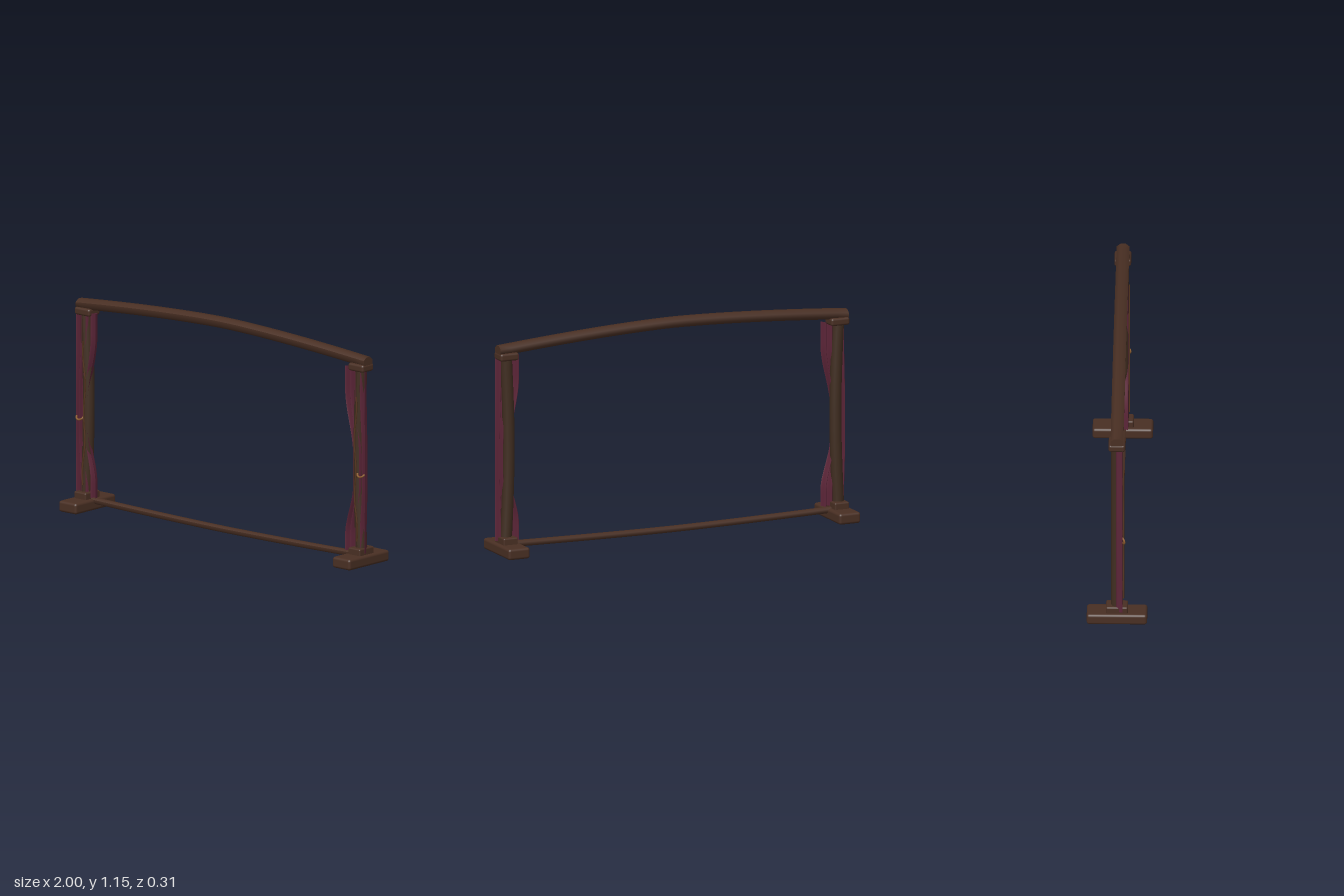
import * as THREE from 'three';
import { RoundedBoxGeometry } from 'three/addons/geometries/RoundedBoxGeometry.js';

const wood = new THREE.MeshStandardMaterial({ color: 0x492f23 });
wood.name = 'brown wood';
const darkWood = new THREE.MeshStandardMaterial({ color: 0x402d20 });
darkWood.name = 'dark wood';
const grainWood = new THREE.MeshStandardMaterial({ color: 0x553620 });
grainWood.name = 'grain brown';
const cloth = new THREE.MeshStandardMaterial({ color: 0x5c2538, side: THREE.DoubleSide });
cloth.name = 'wine cloth';
const cord = new THREE.MeshStandardMaterial({ color: 0x8a5a2c });
cord.name = 'ochre cord';

function add(parent, name, geometry, material, x = 0, y = 0, z = 0) {
  const mesh = new THREE.Mesh(geometry, material);
  mesh.name = name;
  mesh.position.set(x, y, z);
  parent.add(mesh);
  return mesh;
}

// Moves every vertex by a rule, then refreshes the normals.
function bend(geometry, rule) {
  const p = geometry.attributes.position;
  const v = new THREE.Vector3();
  for (let i = 0; i < p.count; i++) {
    v.fromBufferAttribute(p, i);
    rule(v);
    p.setXYZ(i, v.x, v.y, v.z);
  }
  geometry.computeVertexNormals();
  return geometry;
}

// Horizontal bar with a flat-topped eight-sided section, curved in height.
function bar(length, halfHeight, halfDepth, heightAt) {
  const k = 1 / Math.cos(Math.PI / 8);
  const g = new THREE.CylinderGeometry(k, k, length, 8, 32, false, Math.PI / 8);
  g.rotateZ(Math.PI / 2);
  return bend(g, v => {
    v.y = v.y * halfHeight + heightAt(v.x);
    v.z *= halfDepth;
  });
}

// Post centre line: bowed gently toward the opening.
const postX = y => 0.942 - 0.015 * Math.sin(Math.PI * THREE.MathUtils.clamp((y - 0.09) / 0.94, 0, 1));

// Inner edge of the curtain, gathered at the middle.
function curtainInner(y) {
  const s = THREE.MathUtils.smoothstep;
  return 0.855 + 0.055 * s(y, 0.15, 0.42) * (1 - s(y, 0.58, 0.92));
}

function curtainGeometry() {
  const g = new THREE.PlaneGeometry(1, 0.97, 48, 40);
  g.translate(0.5, 0.555, 0);
  return bend(g, v => {
    const u = v.x;
    v.x = THREE.MathUtils.lerp(curtainInner(v.y), 0.99, u);
    v.z = 0.012 + 0.016 * Math.cos(u * Math.PI * 8);
  });
}

function side(sign) {
  const group = new THREE.Group();
  group.name = sign > 0 ? 'leftSide' : 'rightSide';

  // Foot, plinth and cap
  add(group, 'foot', new RoundedBoxGeometry(0.122, 0.058, 0.31, 3, 0.014), wood, sign * 0.938, 0.032, 0);
  add(group, 'plinth', new RoundedBoxGeometry(0.082, 0.05, 0.112, 2, 0.008), wood, sign * 0.94, 0.071, 0);
  add(group, 'cap', new RoundedBoxGeometry(0.105, 0.04, 0.086, 3, 0.012), wood, sign * 0.938, 1.043, 0);

  // Bowed post
  const post = new THREE.CylinderGeometry(0.031, 0.031, 0.95, 10, 20);
  post.translate(0, 0.56, 0);
  add(group, 'post', bend(post, v => { v.x = sign * (v.x + postX(v.y)) ; if (sign < 0) v.x = -2 * postX(v.y) - v.x; }), darkWood);

  // Raised grain line on the post
  const points = [];
  for (let i = 0; i <= 12; i++) {
    const y = 0.13 + 0.76 * i / 12;
    points.push(new THREE.Vector3(sign * (postX(y) + 0.006 * Math.sin(i * 1.3)), y, 0.033));
  }
  add(group, 'grainLine', new THREE.TubeGeometry(new THREE.CatmullRomCurve3(points), 40, 0.004, 6), grainWood);

  // Folded curtain
  const curtain = curtainGeometry();
  if (sign < 0) {
    const index = curtain.index.array;
    for (let i = 0; i < index.length; i += 3) [index[i], index[i + 1]] = [index[i + 1], index[i]];
    bend(curtain, v => { v.x = -v.x; });
  }
  add(group, 'curtain', curtain, cloth);

  // Sagging tieback cord
  const tie = new THREE.CatmullRomCurve3([
    new THREE.Vector3(sign * 0.988, 0.487, 0.026),
    new THREE.Vector3(sign * 0.978, 0.476, 0.036),
    new THREE.Vector3(sign * 0.962, 0.472, 0.038),
    new THREE.Vector3(sign * 0.946, 0.478, 0.035),
    new THREE.Vector3(sign * 0.94, 0.487, 0.028),
  ]);
  add(group, 'tieback', new THREE.TubeGeometry(tie, 20, 0.005, 8), cord);
  return group;
}

export function createModel() {
  const model = new THREE.Group();
  model.name = 'curtainFrame';

  // Arched top beam and slightly sagging lower rail
  add(model, 'topBeam', bar(1.976, 0.027, 0.033, x => 1.127 - 0.054 * Math.pow(Math.abs(x), 1.6)), wood);
  add(model, 'lowerRail', bar(1.84, 0.016, 0.017, x => 0.04 + 0.015 * Math.pow(Math.abs(x), 1.6)), wood);

  model.add(side(1), side(-1));
  return model;
}
